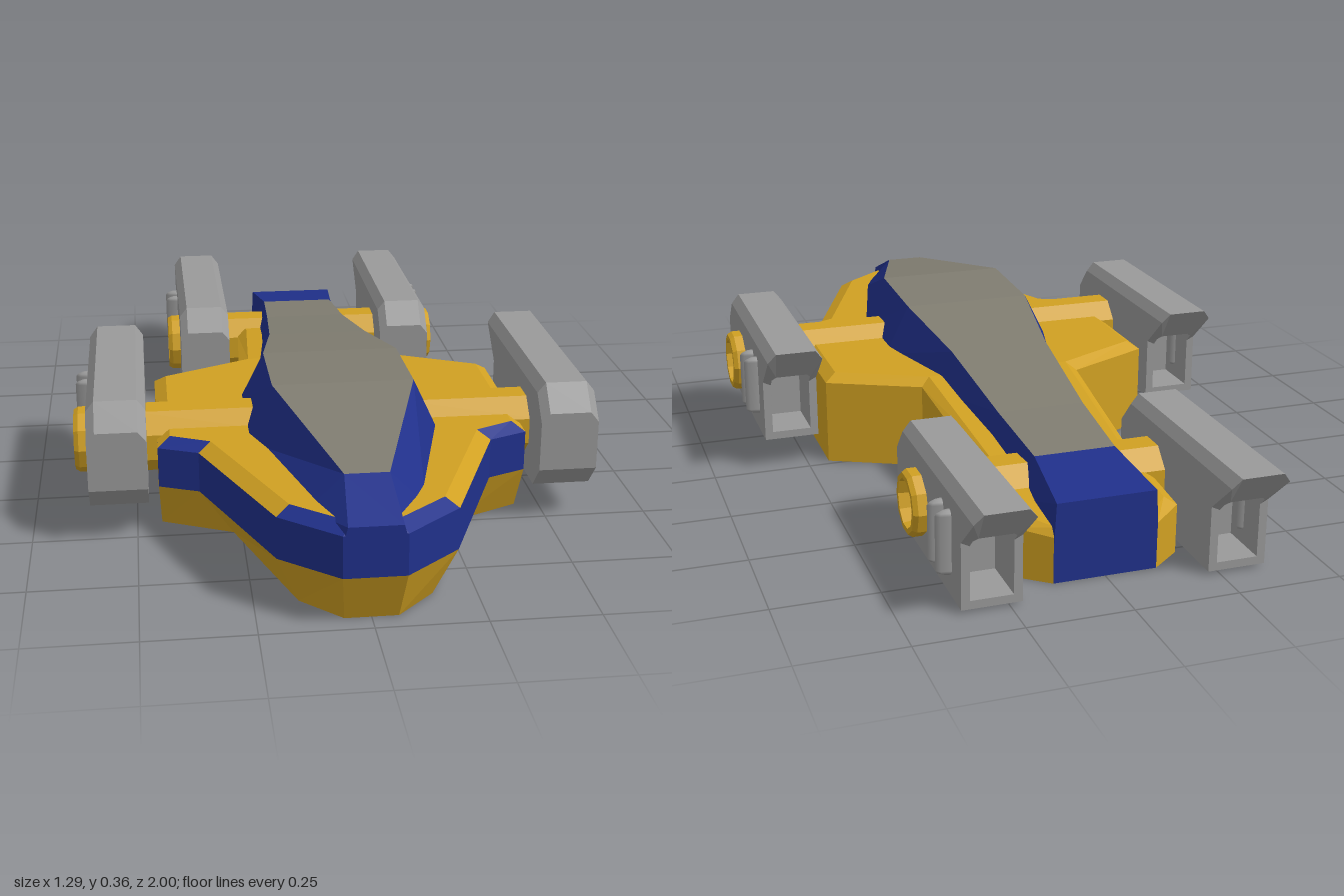
import * as THREE from 'three';

const mat = (name, color) => {
  const m = new THREE.MeshStandardMaterial({ color });
  m.name = name;
  return m;
};
const gold = mat('gold', 0xd0a022);
const blue = mat('blue', 0x20308a);
const grey = mat('podGrey', 0x999999);
const glass = mat('canopyGrey', 0x7f7c70);

// Flat-shaded copy of a geometry
function flat(g) {
  const out = g.index ? g.toNonIndexed() : g;
  out.computeVertexNormals();
  return out;
}

function add(parent, name, geometry, material, x = 0, y = 0, z = 0) {
  const m = new THREE.Mesh(geometry, material);
  m.name = name;
  m.position.set(x, y, z);
  parent.add(m);
  return m;
}

// Lofts mirrored half sections [x, y, z] (bottom to top, front to back);
// pick(section, strip) chooses the material, strip -1 being an end cap.
function loft(name, halves, pick) {
  const rings = halves.map(h => [...h, ...[...h].reverse().map(([x, y, z]) => [-x, y, z])]);
  const n = rings[0].length, faces = new Map();
  const quad = (m, a, b, c, d) => {
    if (!faces.has(m)) faces.set(m, []);
    faces.get(m).push(...a, ...b, ...c, ...a, ...c, ...d);
  };
  for (let i = 0; i < rings.length - 1; i++) {
    const p = rings[i], q = rings[i + 1];
    for (let j = 0; j < n; j++) {
      const k = (j + 1) % n;
      const strip = j === n - 1 ? j : Math.min(j, n - 2 - j);
      quad(pick(i, strip), p[j], q[j], q[k], p[k]);
    }
  }
  const last = rings.length - 1;
  for (let k = 0; k < n / 2 - 1; k++) {
    const f = rings[0], b = rings[last];
    quad(pick(0, -1, k), f[k], f[k + 1], f[n - 2 - k], f[n - 1 - k]);
    quad(pick(last, -1, k), b[n - 1 - k], b[n - 2 - k], b[k + 1], b[k]);
  }
  const group = new THREE.Group();
  group.name = name;
  for (const [m, pos] of faces) {
    const g = new THREE.BufferGeometry();
    g.setAttribute('position', new THREE.Float32BufferAttribute(pos, 3));
    g.computeVertexNormals();
    add(group, name + '_' + m.name, g, m);
  }
  return group;
}

// Hull: bottom x,z / side x,z / deck edge x,z; the deck falls away to the rear
function makeHull() {
  const plan = [
    [0.06, 0.95, 0.07, 1.0, 0.05, 0.97],
    [0.15, 0.86, 0.2, 0.89, 0.17, 0.87],
    [0.27, 0.5, 0.35, 0.52, 0.32, 0.5],
    [0.44, 0.42, 0.445, 0.48, 0.415, 0.455],
    [0.445, 0.2, 0.445, 0.2, 0.415, 0.2],
    [0.445, 0.02, 0.445, 0.02, 0.415, 0.04],
    [0.215, -0.09, 0.215, -0.09, 0.19, -0.07],
    [0.19, -0.5, 0.19, -0.5, 0.165, -0.5],
    [0.2, -0.77, 0.2, -0.77, 0.17, -0.76],
    [0.125, -0.83, 0.125, -0.83, 0.115, -0.82],
  ];
  const halves = plan.map(([bx, bz, x, z, dx, dz]) => {
    const rim = 0.22 - 0.145 * Math.max(0, -0.09 - z);
    return [[bx, 0, bz], [x, rim * 0.55, z], [x, rim, z], [dx, rim + 0.02, dz]];
  });
  return loft('hull', halves, (i, strip, k) => {
    if (strip === -1) return i > 0 || k > 0 ? blue : gold;
    if (strip === 1 && i < 4) return blue;
    return strip === 2 && (i === 0 || i === 2) ? blue : gold;
  });
}

// Raised spine: z, base half width, base y, top half width, top y
function makeCanopy() {
  const spine = [
    [1.0, 0.07, 0.2, 0.06, 0.24],
    [0.86, 0.13, 0.22, 0.05, 0.3],
    [0.46, 0.235, 0.22, 0.17, 0.36],
    [0.2, 0.235, 0.22, 0.17, 0.35],
    [-0.08, 0.17, 0.2, 0.13, 0.305],
    [-0.4, 0.135, 0.16, 0.11, 0.25],
    [-0.63, 0.13, 0.12, 0.1, 0.225],
    [-0.832, 0.125, 0.1, 0.12, 0.195],
  ];
  return loft('canopy', spine.map(([z, bx, by, tx, ty]) => [[bx, by, z], [tx, ty, z]]),
    (i, strip) => (strip === 1 && i > 0 && i < 6 ? glass : blue));
}

// Pod with chamfered nose and top, swept tail and hollow rear; side is +1 or -1
function makePod(side, name) {
  const pod = loft(name, [
    [[0.07, 0.14, 0.535], [0.07, 0.2, 0.535], [0.07, 0.26, 0.535], [0.05, 0.285, 0.535]],
    [[0.07, 0.08, 0.48], [0.07, 0.24, 0.48], [0.07, 0.32, 0.48], [0.05, 0.345, 0.48]],
    [[0.07, 0.08, 0.02], [0.07, 0.24, 0.02], [0.07, 0.32, -0.07], [0.05, 0.345, -0.08]],
    [[0.05, 0.1, 0.02], [0.05, 0.23, 0.02], [0.05, 0.25, 0.0], [0.04, 0.26, -0.01]],
    [[0.05, 0.1, 0.15], [0.05, 0.23, 0.15], [0.05, 0.25, 0.15], [0.04, 0.26, 0.15]],
  ], () => grey);

  // Two upright ribs on the outer face
  for (const z of [0.1, 0.16]) {
    const rib = add(pod, 'rib', new THREE.CapsuleGeometry(0.013, 0.13, 3, 8), grey, side * 0.07, 0.207, z);
    rib.scale.x = 2.6;
  }

  // Open hub ring
  const profile = [[0.08, 0], [0.08, 0.025], [0.073, 0.036], [0.06, 0.036], [0.055, 0]]
    .map(([r, h]) => new THREE.Vector2(r, h));
  const ring = add(pod, 'hubRing', flat(new THREE.LatheGeometry(profile, 10)), gold, side * 0.068, 0.197, 0.345);
  ring.rotation.z = -side * Math.PI / 2;
  return pod;
}

export function createModel() {
  const model = new THREE.Group();
  model.name = 'hoverVehicle';
  model.add(makeHull(), makeCanopy());

  // Front and rear pods, each on an octagonal axle
  const mounts = [
    { name: 'front', x: 0.54, y: 0, z: 0, root: 0.16 },
    { name: 'rear', x: 0.292, y: -0.072, z: -0.92, root: 0.08 },
  ];
  for (const { name, x, y, z, root } of mounts) {
    for (const side of [1, -1]) {
      const pod = makePod(side, name + 'Pod');
      pod.position.set(side * x, y, z);
      model.add(pod);
      const length = x - 0.05 - root;
      const g = new THREE.CylinderGeometry(0.083, 0.083, length, 8);
      g.rotateY(Math.PI / 8);
      g.rotateZ(Math.PI / 2);
      add(model, name + 'Axle', flat(g), gold, side * (root + length / 2), 0.197 + y, 0.345 + z);
    }
  }
  return model;
}
